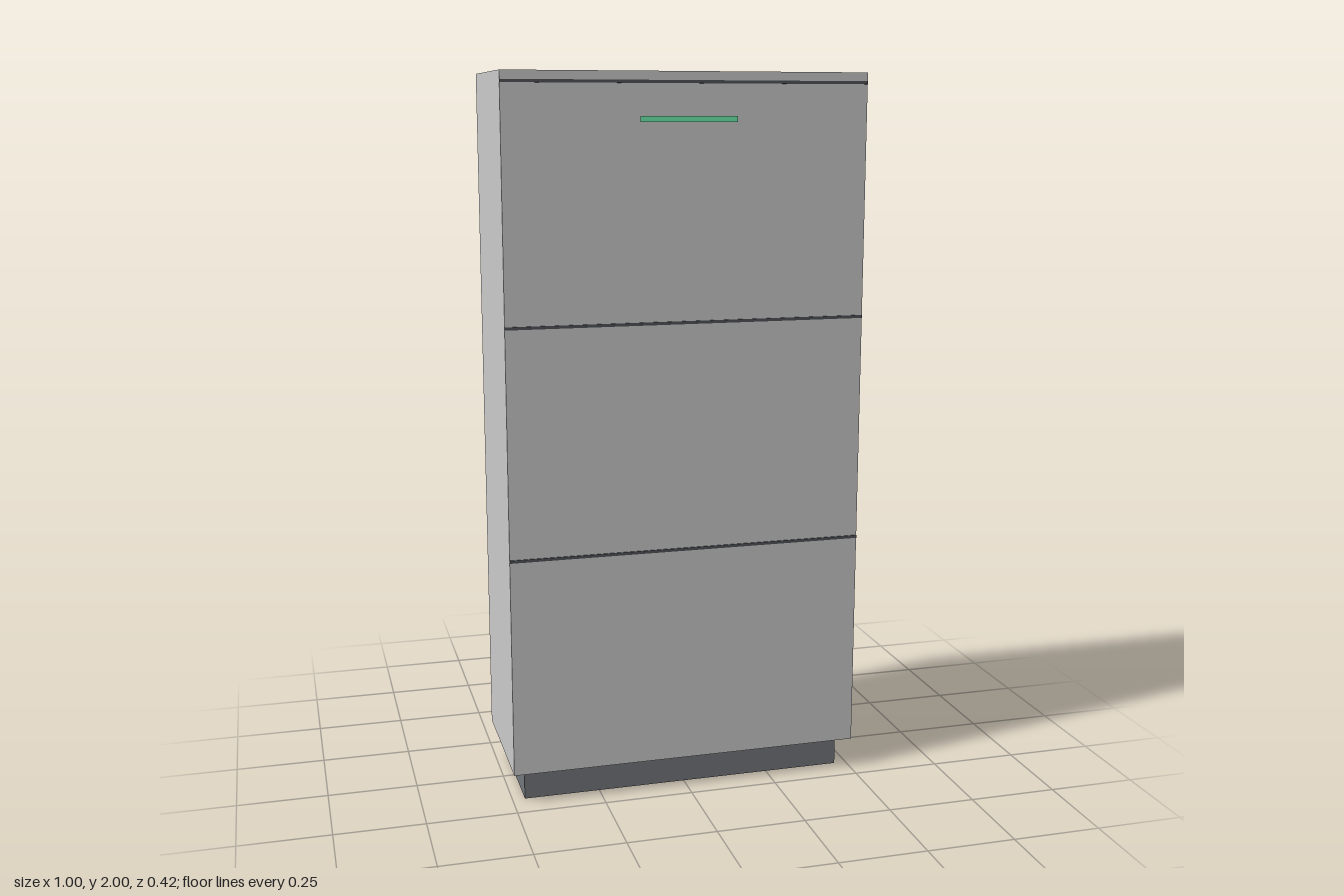
import * as THREE from 'three';

export function createModel() {
  const group = new THREE.Group();
  const paint = (color) => new THREE.MeshStandardMaterial({ color });
  const grey = paint(0xcccccc);
  const plinthGrey = paint(0x74777c);
  const seamGrey = paint(0x50545a);
  const green = paint(0x70eeb0);

  // Box given by its width (centred on x) and its y and z ranges
  function box(name, width, [y0, y1], [z0, z1], material) {
    const mesh = new THREE.Mesh(new THREE.BoxGeometry(width, y1 - y0, z1 - z0), material);
    mesh.position.set(0, (y0 + y1) / 2, (z0 + z1) / 2);
    mesh.name = name;
    group.add(mesh);
  }

  const front = 0.205;

  // Recessed plinth and cabinet body
  box('plinth', 0.93, [0, 0.09], [-0.165, 0.165], plinthGrey);
  box('cabinetBody', 1, [0.09, 2], [-0.209, front], grey);

  // Thin raised strips dividing the front into three panels
  [0.707, 1.34, 1.973].forEach((y, i) => {
    box(`panelSeam${i + 1}`, 1, [y - 0.004, y + 0.004], [front - 0.004, 0.208], seamGrey);
  });

  // Slim light strip on the top panel
  box('lightStrip', 0.265, [1.87, 1.885], [front - 0.004, 0.209], green);

  return group;
}
